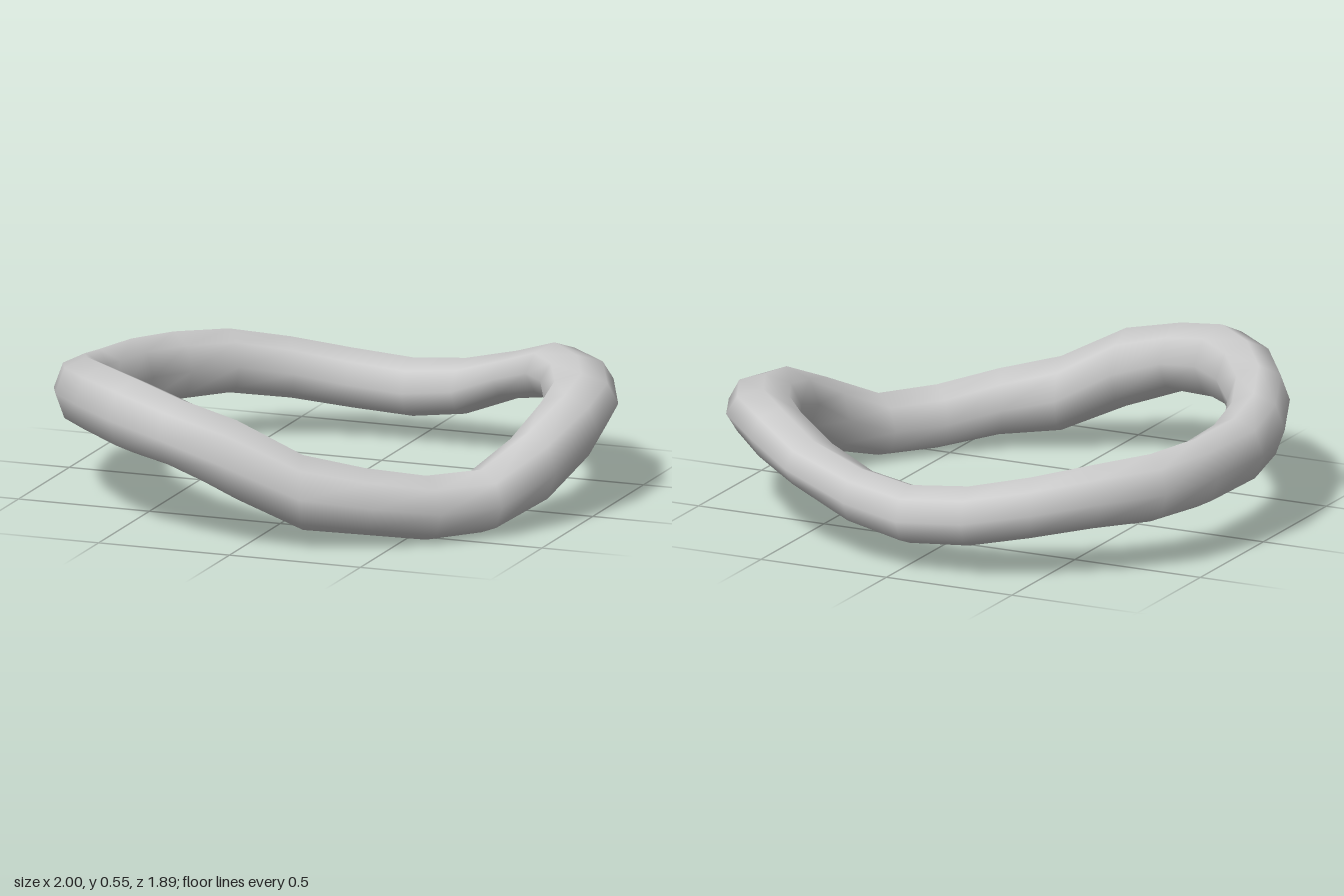
import * as THREE from 'three';

// Stations around the ring: outer x, z, inner x, z, top y, bottom y
const STATIONS = [
  [1.0, -0.06, 0.74, -0.06, 0.42, 0.17],
  [0.985, -0.29, 0.72, -0.24, 0.45, 0.24],
  [0.87, -0.54, 0.64, -0.41, 0.46, 0.28],
  [0.68, -0.73, 0.53, -0.55, 0.455, 0.255],
  [0.48, -0.85, 0.37, -0.635, 0.385, 0.21],
  [0.22, -0.91, 0.19, -0.69, 0.325, 0.12],
  [-0.01, -0.95, -0.01, -0.715, 0.3, 0.085],
  [-0.26, -0.93, -0.21, -0.7, 0.32, 0.1],
  [-0.49, -0.84, -0.39, -0.64, 0.36, 0.135],
  [-0.7, -0.7, -0.56, -0.54, 0.4, 0.165],
  [-0.87, -0.51, -0.68, -0.39, 0.415, 0.165],
  [-0.955, -0.27, -0.76, -0.21, 0.43, 0.175],
  [-1.0, 0, -0.77, 0, 0.445, 0.195],
  [-0.97, 0.23, -0.75, 0.18, 0.48, 0.22],
  [-0.875, 0.46, -0.68, 0.35, 0.52, 0.26],
  [-0.72, 0.67, -0.56, 0.5, 0.545, 0.28],
  [-0.53, 0.83, -0.41, 0.625, 0.545, 0.27],
  [-0.3, 0.925, -0.24, 0.685, 0.505, 0.25],
  [-0.04, 0.945, -0.04, 0.7, 0.45, 0.16],
  [0.22, 0.88, 0.16, 0.65, 0.33, 0.055],
  [0.46, 0.78, 0.33, 0.575, 0.28, 0.035],
  [0.66, 0.62, 0.48, 0.45, 0.235, 0],
  [0.82, 0.43, 0.61, 0.29, 0.23, 0],
  [0.935, 0.2, 0.7, 0.11, 0.33, 0.06],
];
const SIDES = 8;

// Closed tube skinned over one oval section per station
function ringGeometry() {
  const positions = [], indices = [], n = STATIONS.length;
  STATIONS.forEach(([ox, oz, ix, iz, top, bottom], i) => {
    for (let j = 0; j < SIDES; j++) {
      const a = (j / SIDES) * Math.PI * 2;
      const t = (1 + Math.cos(a)) / 2; // inner edge to outer edge
      const v = (1 + Math.sin(a)) / 2; // bottom to top
      positions.push(ix + (ox - ix) * t, bottom + (top - bottom) * v, iz + (oz - iz) * t);
      const i2 = (i + 1) % n, j2 = (j + 1) % SIDES;
      const p = i * SIDES + j, q = i2 * SIDES + j;
      const r = i2 * SIDES + j2, s = i * SIDES + j2;
      indices.push(p, q, r, p, r, s);
    }
  });
  const geometry = new THREE.BufferGeometry();
  geometry.setAttribute('position', new THREE.Float32BufferAttribute(positions, 3));
  geometry.setIndex(indices);
  geometry.computeVertexNormals();
  return geometry;
}

export function createModel() {
  const group = new THREE.Group();
  const ring = new THREE.Mesh(ringGeometry(), new THREE.MeshStandardMaterial({ color: 0xcccccc }));
  ring.name = 'wavyRing';
  group.add(ring);
  return group;
}
